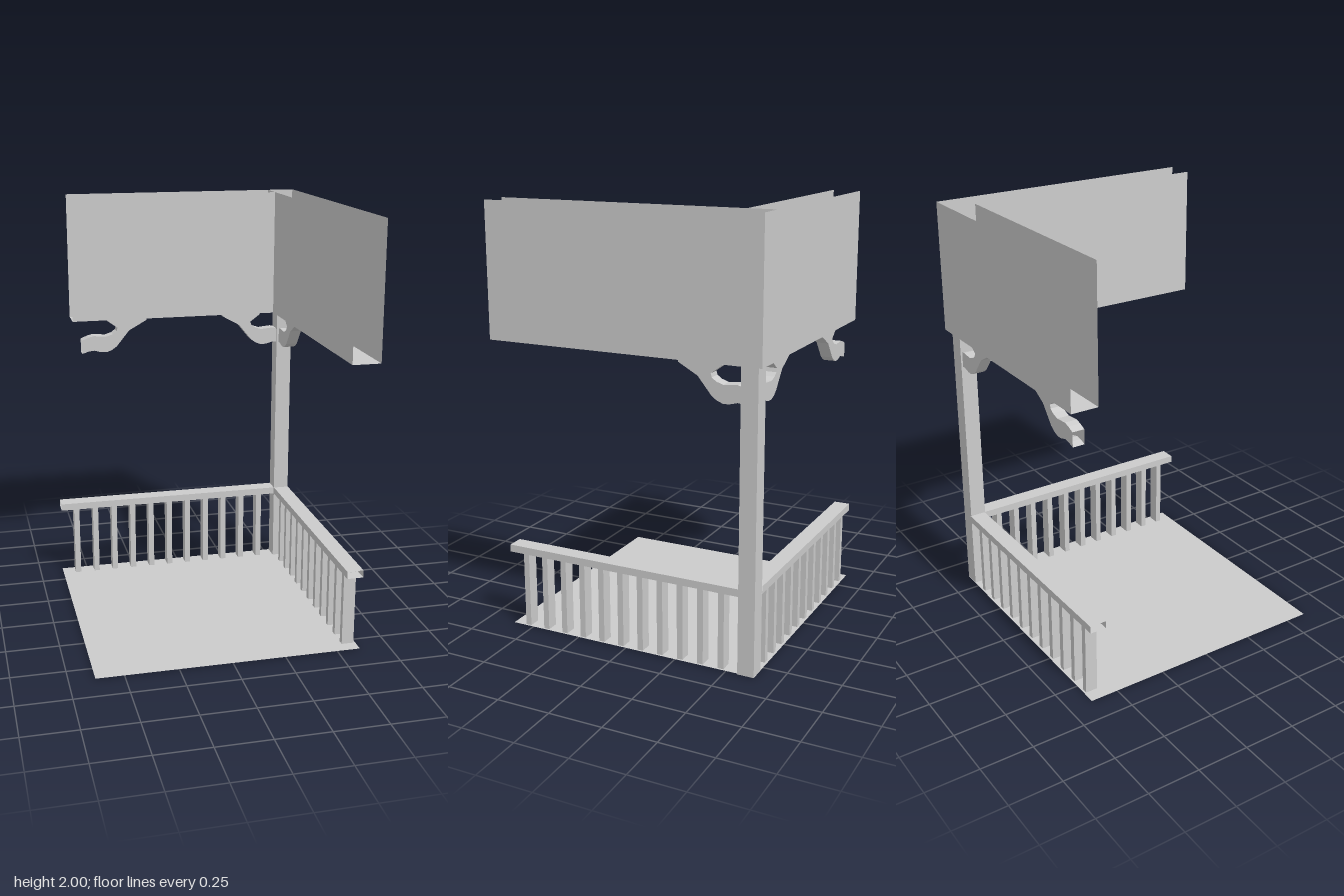
import * as THREE from 'three';
import { mergeGeometries } from 'three/addons/utils/BufferGeometryUtils.js';

const material = new THREE.MeshStandardMaterial({ color: 0xcccccc, side: THREE.DoubleSide, flatShading: true });
const FACES = ['+x', '-x', '+y', '-y', '+z', '-z'];

// Box given by its min and max on each axis, with the listed faces left out
function openBox([x0, x1], [y0, y1], [z0, z1], open = []) {
  const g = new THREE.BoxGeometry(x1 - x0, y1 - y0, z1 - z0);
  const index = Array.from(g.index.array);
  g.setIndex(index.filter((_, i) => !open.includes(FACES[Math.floor(i / 6)])));
  g.clearGroups();
  return g.translate((x0 + x1) / 2, (y0 + y1) / 2, (z0 + z1) / 2);
}

function add(parent, name, geometry) {
  const mesh = new THREE.Mesh(geometry, material);
  mesh.name = name;
  parent.add(mesh);
  return mesh;
}

// S-curved bracket in the xy plane, arm toward +x, hollow: open at the seat and at the arm end
function bracketGeometry(depth) {
  const lower = [[-0.1, 1.386], [-0.1, 1.364], [-0.01, 1.314], [0.055, 1.234], [0.08, 1.216],
    [0.108, 1.206], [0.135, 1.207], [0.172, 1.217], [0.2, 1.214], [0.233, 1.203]];
  const upper = [[0.1, 1.386], [0.1, 1.367], [0.05, 1.33], [0.055, 1.313], [0.075, 1.298],
    [0.108, 1.287], [0.14, 1.29], [0.172, 1.293], [0.2, 1.286], [0.233, 1.272]];
  const outline = [...lower, ...upper.slice().reverse()].map(p => new THREE.Vector2(...p));
  const parts = [1, -1].map(s => new THREE.ShapeGeometry(new THREE.Shape(outline)).translate(0, 0, s * depth / 2));
  for (const edge of [lower, upper]) {
    const strip = new THREE.PlaneGeometry(1, 1, edge.length - 1, 1);
    const pos = strip.attributes.position;
    for (let i = 0; i < pos.count; i++) {
      const [x, y] = edge[i % edge.length];
      pos.setXYZ(i, x, y, (i < edge.length ? 0.5 : -0.5) * depth);
    }
    strip.computeVertexNormals();
    parts.push(strip);
  }
  return mergeGeometries(parts);
}

export function createModel() {
  const model = new THREE.Group();
  model.name = 'cornerPorch';

  // Floor sheet
  const floor = add(model, 'floor', new THREE.PlaneGeometry(1.24, 1.24).rotateX(-Math.PI / 2));
  floor.position.set(-0.012, 0.004, -0.017);

  // Corner post
  add(model, 'cornerPost', openBox([0.53, 0.608], [0, 1.386], [-0.635, -0.557]));

  // Railings: hollow rail open at its free end, over a row of balusters
  const backRailing = new THREE.Group();
  backRailing.name = 'backRailing';
  const sideRailing = new THREE.Group();
  sideRailing.name = 'sideRailing';
  model.add(backRailing, sideRailing);
  add(backRailing, 'backRail', openBox([-0.633, 0.535], [0.365, 0.4], [-0.638, -0.56], ['-x', '+x']));
  add(sideRailing, 'sideRail', openBox([0.531, 0.609], [0.365, 0.4], [-0.56, 0.608], ['+z', '-z']));
  for (let i = 0; i < 11; i++) {
    const a = -0.553 + i * 0.1, h = 0.014, d = 0.029;
    add(backRailing, 'backBaluster', openBox([a - h, a + h], [0, 0.366], [-0.598 - d, -0.598 + d]));
    const z = 0.527 - i * 0.1;
    add(sideRailing, 'sideBaluster', openBox([0.57 - d, 0.57 + d], [0, 0.366], [z - h, z + h]));
  }

  // Overhead troughs: open on top and at the free ends
  add(model, 'sideTrough', openBox([0.5, 0.632], [1.38, 2], [-0.66, 0.657], ['+y', '+z']));
  add(model, 'backTrough', openBox([-0.547, 0.5], [1.38, 2], [-0.66, -0.529], ['+y', '-x', '+x']));

  // Brackets under the troughs
  const bracket = bracketGeometry(0.057);
  add(model, 'backRightBracket', bracket).position.set(0.339, 0, -0.598);
  const mirrored = add(model, 'backLeftBracket', bracket);
  mirrored.position.set(-0.265, 0, -0.598);
  mirrored.rotation.y = Math.PI;
  const side = add(model, 'sideBracket', bracket);
  side.position.set(0.57, 0, -0.367);
  side.rotation.y = Math.PI / 2;

  return model;
}
